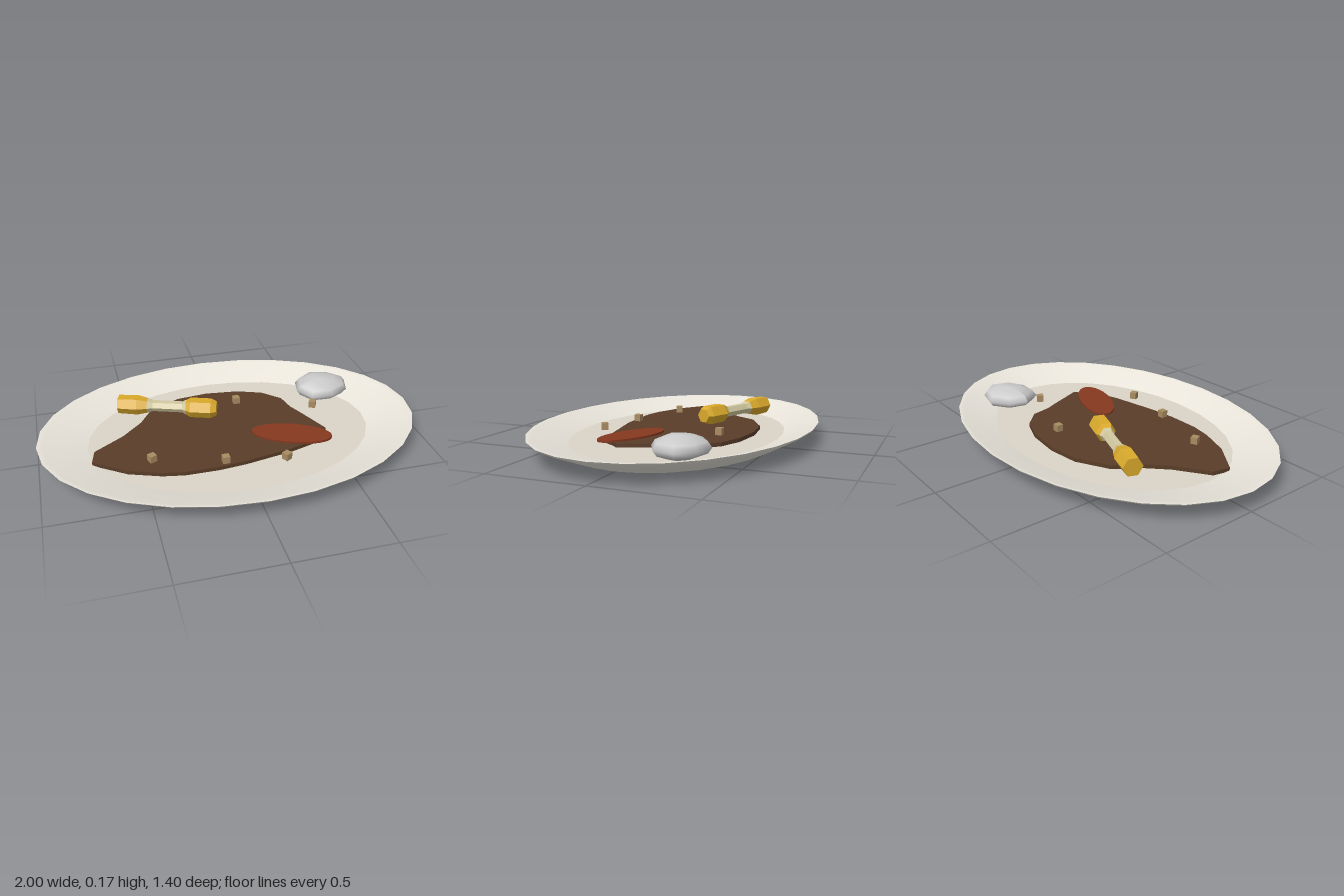
import * as THREE from 'three';

const mat = (color, flat = false) => new THREE.MeshStandardMaterial({ color, flatShading: flat });
const points = (list) => list.map(([x, y]) => new THREE.Vector2(x, y));

function add(parent, name, geometry, material, x = 0, y = 0, z = 0, turn = 0) {
  const mesh = new THREE.Mesh(geometry, material);
  mesh.name = name;
  mesh.position.set(x, y, z);
  mesh.rotation.y = turn;
  parent.add(mesh);
  return mesh;
}

// Oval platter: outside shell, sloped inner rim and floor
function makePlate() {
  const plate = new THREE.Group();
  plate.name = 'plate';
  const china = mat(0xe9e5db);
  const ring = (name, profile, material) =>
    add(plate, name, new THREE.LatheGeometry(points(profile), 28).scale(1, 1, 0.7), material);
  ring('plateUnderside', [[0, 0], [0.75, 0], [0.99, 0.09], [1, 0.1]], china);
  ring('plateRim', [[1, 0.1], [0.97, 0.098], [0.75, 0.042]], china);
  ring('plateFloor', [[0.75, 0.042], [0, 0.042]], mat(0xdad4c8));
  return plate;
}

// Hexagonal bone lying along x: knobs at both ends of a thin shaft
function makeBone() {
  const bone = new THREE.Group();
  bone.name = 'bone';
  const gold = mat(0xd9a92b, true);
  const ivory = mat(0xd2c9a0, true);
  const piece = (name, profile, material) =>
    add(bone, name, new THREE.LatheGeometry(points(profile), 6).rotateZ(-Math.PI / 2), material);
  piece('boneLeftKnob', [[0, 0.27], [0.038, 0.27], [0.053, 0.24], [0.053, 0.13], [0.04, 0.105]].reverse(), gold);
  piece('boneShaft', [[0.04, -0.105], [0.03, -0.075], [0.03, 0.085], [0.04, 0.105]], ivory);
  piece('boneRightKnob', [[0, -0.265], [0.05, -0.265], [0.053, -0.16], [0.04, -0.105]], gold);
  bone.position.set(-0.3, 0.125, -0.2);
  bone.rotation.y = -0.35;
  return bone;
}

export function createModel() {
  const model = new THREE.Group();
  model.add(makePlate());

  // Slab of meat, outlined as x, z
  const outline = [
    [-0.72, 0.05], [-0.74, 0.14], [-0.58, 0.255], [-0.42, 0.315], [-0.31, 0.335], [-0.14, 0.335],
    [0, 0.32], [0.26, 0.27], [0.42, 0.22], [0.46, 0.16], [0.49, 0.13], [0.42, -0.04], [0.38, -0.13],
    [0.36, -0.23], [0.27, -0.32], [0.14, -0.37], [-0.04, -0.39], [-0.21, -0.37], [-0.38, -0.28],
    [-0.45, -0.17], [-0.56, -0.06],
  ];
  const slab = new THREE.Shape(points(outline.map(([x, z]) => [x, -z])));
  const meat = new THREE.ExtrudeGeometry(slab, { depth: 0.022, bevelEnabled: false });
  add(model, 'meatSlab', meat.rotateX(-Math.PI / 2), mat(0x5a3d28), 0, 0.04, 0);

  // Thin oval of sauce
  const sauce = new THREE.CylinderGeometry(1, 1, 0.012, 24).scale(0.21, 1, 0.088);
  add(model, 'sauce', sauce, mat(0x86381f), 0.295, 0.066, 0.145, -0.38);

  model.add(makeBone());

  // Rounded mound with a slightly uneven outline
  const mound = new THREE.SphereGeometry(1, 8, 6);
  const p = mound.attributes.position;
  for (let i = 0; i < p.count; i++) {
    const a = Math.atan2(p.getZ(i), p.getX(i));
    const k = 1 + 0.05 * Math.sin(3 * a + 0.6);
    p.setXYZ(i, p.getX(i) * 0.158 * k, p.getY(i) * 0.055, p.getZ(i) * 0.137 * k);
  }
  mound.computeVertexNormals();
  add(model, 'mound', mound, mat(0xeeeeee), 0.6, 0.103, -0.245, 0.2);

  // Scattered crumbs: x, z, turn
  const crumb = new THREE.BoxGeometry(0.036, 0.036, 0.036);
  const tan = mat(0xa88c62);
  [[0.1, -0.25, 0], [0.5, -0.1, -0.5], [-0.45, 0.2, 0.4], [-0.1, 0.3, 0], [0.2, 0.35, 0.5]]
    .forEach(([x, z, turn], i) => add(model, `crumb${i + 1}`, crumb, tan, x, 0.08, z, turn));

  return model;
}
